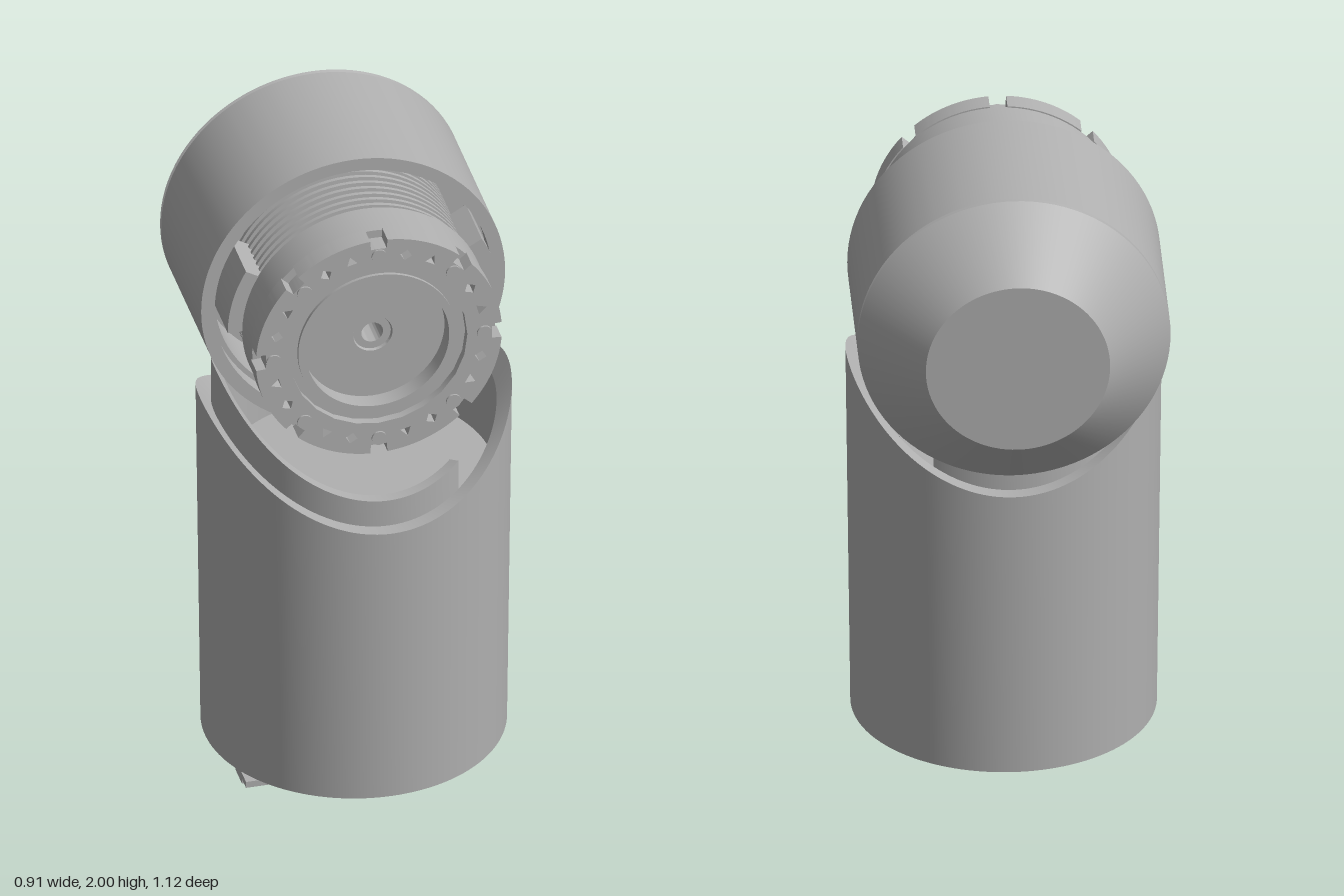
import * as THREE from 'three';
import { toCreasedNormals } from 'three/addons/utils/BufferGeometryUtils.js';

const grey = new THREE.MeshStandardMaterial({ color: 0xb0b0b0, side: THREE.DoubleSide });
grey.name = 'light grey';

const AXIS_Y = 1.55;   // height of the head axis
const BODY_Z = 0.107;  // centre of the upright body

function add(parent, name, geometry, x = 0, y = 0, z = 0) {
  const mesh = new THREE.Mesh(toCreasedNormals(geometry, 0.5), grey);
  mesh.name = name;
  mesh.position.set(x, y, z);
  parent.add(mesh);
  return mesh;
}

function lathe(points, segments = 80, start = 0, length = Math.PI * 2) {
  return new THREE.LatheGeometry(points.map(([r, y]) => new THREE.Vector2(r, y)), segments, start, length);
}

// Closed tube wall between two radii
function ring(inner, outer, y0, y1) {
  return lathe([[inner, y0], [outer, y0], [outer, y1], [inner, y1], [inner, y0]]);
}

// Lift every vertex at or above y = 1 onto a horizontal cylinder around the head
function saddle(geometry, radius) {
  const p = geometry.attributes.position;
  for (let i = 0; i < p.count; i++) {
    if (p.getY(i) < 0.999) continue;
    const x = p.getX(i);
    p.setY(i, AXIS_Y - Math.sqrt(radius * radius - x * x));
  }
  return geometry;
}

// Ribbed unit with a notched, pierced face looking along +z at z = 0
function makeDrive(name) {
  const drive = new THREE.Group();
  drive.name = name;

  // Ribbed core, plain flange and stepped well with a centre bore
  const profile = [[0, -0.6]];
  for (let z = -0.6; z < -0.2; z += 0.03) {
    profile.push([0.325, z], [0.325, z + 0.014], [0.347, z + 0.016], [0.347, z + 0.028]);
  }
  profile.push([0.325, -0.178], [0.36, -0.178], [0.36, -0.06], [0.262, -0.06], [0.262, -0.025],
    [0.235, -0.025], [0.235, -0.015], [0.212, -0.015], [0.212, -0.07], [0.058, -0.07],
    [0.055, -0.078], [0.032, -0.078], [0.032, -0.2], [0, -0.2]);
  add(drive, 'ribbedCore', lathe(profile).rotateX(Math.PI / 2));

  // Face ring with eight rim notches and small triangular or square holes
  const face = new THREE.Shape();
  const step = Math.PI / 4, half = 0.07;
  for (let i = 0; i < 8; i++) {
    const a = i * step;
    face.absarc(0, 0, 0.364, a + half, a + step - half, false);
    face.absarc(0, 0, 0.335, a + step - half, a + step + half, false);
  }
  face.closePath();
  face.holes.push(new THREE.Path().absarc(0, 0, 0.262, 0, Math.PI * 2, true));
  for (let i = 0; i < 24; i++) {
    if (i % 3 === 0) continue;
    const a = i * Math.PI / 12, sides = i % 3 === 1 ? 3 : 4;
    const hole = [];
    for (let k = 0; k < sides; k++) {
      const t = a - k * Math.PI * 2 / sides;
      hole.push(new THREE.Vector2(0.312 * Math.cos(a) + 0.018 * Math.cos(t), 0.312 * Math.sin(a) + 0.018 * Math.sin(t)));
    }
    face.holes.push(new THREE.Path(hole));
  }
  add(drive, 'faceRing', new THREE.ExtrudeGeometry(face, { depth: 0.062, bevelEnabled: false, curveSegments: 12 }), 0, 0, -0.062);

  // Screw bosses behind the notches
  for (let i = 0; i < 8; i++) {
    const a = i * step;
    add(drive, 'screwBoss', new THREE.CylinderGeometry(0.022, 0.022, 0.02, 16).rotateX(Math.PI / 2),
      0.312 * Math.cos(a), 0.312 * Math.sin(a), -0.004);
  }
  return drive;
}

function makeHead() {
  const head = new THREE.Group();
  head.name = 'head';
  head.position.y = AXIS_Y;

  // Hollow drum with a conical back and a narrow seam
  add(head, 'headShell', lathe([[0, -0.56], [0.265, -0.56], [0.45, -0.378], [0.444, -0.374], [0.444, -0.368],
    [0.45, -0.364], [0.45, 0.1], [0.41, 0.1], [0.41, 0.04], [0.395, 0.04], [0.395, -0.15], [0.32, -0.15]], 96)
    .rotateX(Math.PI / 2));

  const drive = makeDrive('headDrive');
  drive.position.z = 0.4;
  head.add(drive);

  // Curved lugs bridging shell and flange
  for (const start of [0, Math.PI * 5 / 6]) {
    const lug = new THREE.Shape();
    lug.absarc(0, 0, 0.403, start, start + Math.PI / 6, false);
    lug.absarc(0, 0, 0.335, start + Math.PI / 6, start, true);
    lug.closePath();
    add(head, 'sideLug', new THREE.ExtrudeGeometry(lug, { depth: 0.185, bevelEnabled: false }), 0, 0, 0.04);
  }
  return head;
}

function makeBody() {
  const body = new THREE.Group();
  body.name = 'body';
  body.position.z = BODY_Z;

  // Slightly tapered sleeve with a saddle-cut top
  add(body, 'bodySleeve', saddle(lathe([[0.4, 0.13], [0.405, 0.1], [0.44, 0.1], [0.454, 1], [0.41, 1], [0.4, 0.13]], 128), 0.54));

  // Inner collar reaching up to the head, open on the +x side
  add(body, 'innerCollar', saddle(lathe([[0.375, 0.85], [0.409, 0.85], [0.409, 1], [0.375, 1], [0.375, 0.85]],
    96, Math.PI * 147 / 180, Math.PI * 246 / 180), 0.455));

  // Floor inside the sleeve with its fittings
  add(body, 'innerFloor', ring(0.2, 0.405, 0.9, 0.94));
  add(body, 'innerCap', new THREE.CylinderGeometry(0.3, 0.3, 0.08, 64), 0, 0.93, 0);
  add(body, 'innerBoss', new THREE.CylinderGeometry(0.045, 0.045, 0.08, 24), -0.13, 1.0, 0.31);
  add(body, 'innerBracket', new THREE.BoxGeometry(0.18, 0.06, 0.05), -0.04, 0.99, 0.28);

  // Underside: recessed retainer, drive face, and offset latch
  add(body, 'bottomRetainer', ring(0.34, 0.41, 0.112, 0.14));
  add(body, 'bottomLip', ring(0.376, 0.39, 0.1, 0.13));
  const drive = makeDrive('bottomDrive');
  drive.rotation.x = Math.PI / 2;
  drive.position.y = 0.085;
  body.add(drive);
  add(body, 'latchPlate', new THREE.BoxGeometry(0.18, 0.02, 0.18), -0.29, 0.072, 0.15);
  add(body, 'latchBlock', new THREE.BoxGeometry(0.105, 0.07, 0.075), -0.31, 0.035, 0.087);
  return body;
}

export function createModel() {
  const model = new THREE.Group();
  model.name = 'swivelUnit';
  model.add(makeBody(), makeHead());
  return model;
}
